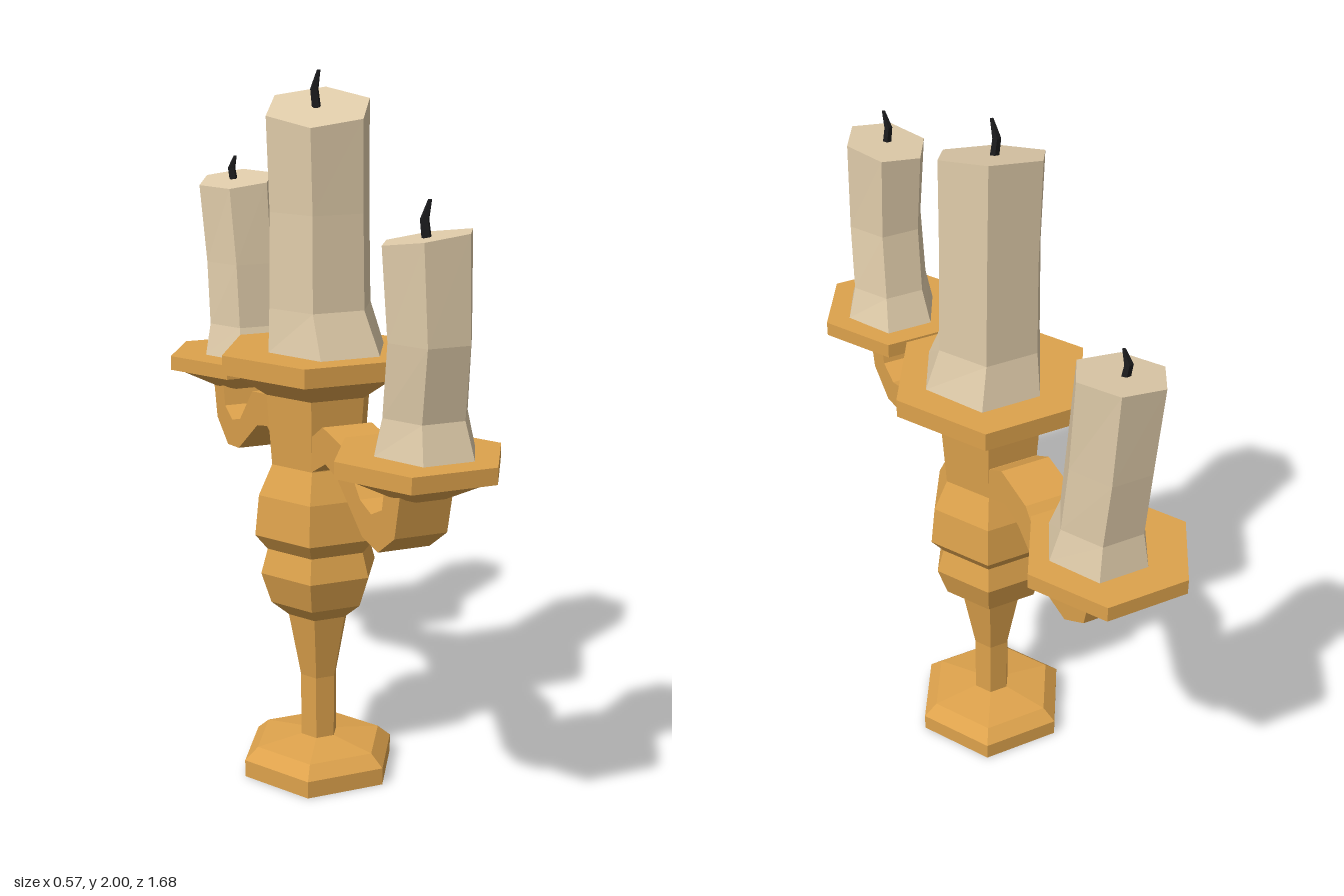
import * as THREE from 'three';

const paint = (color) => new THREE.MeshStandardMaterial({ color, flatShading: true });

// Six-sided turned part from [radius, height] pairs, corners on the x axis
function turned(name, profile, material) {
  const points = profile.map(([r, y]) => new THREE.Vector2(r, y));
  const mesh = new THREE.Mesh(new THREE.LatheGeometry(points, 6, Math.PI / 2), material);
  mesh.name = name;
  return mesh;
}

// Capped loft through rings [y, centreX, centreZ, radiusX, radiusZ]; the last ring may slope
function loft(name, rings, sides, material, slopeX = 0, slopeZ = 0) {
  const corner = (s, i) => {
    const [y, cx, cz, rx, rz] = rings[s];
    const a = (i / sides) * Math.PI * 2;
    const dx = rx * Math.cos(a), dz = -rz * Math.sin(a);
    const lift = s === rings.length - 1 ? slopeX * dx + slopeZ * dz : 0;
    return [cx + dx, y + lift, cz + dz];
  };
  const centre = (s) => [rings[s][1], rings[s][0], rings[s][2]];
  const top = rings.length - 1;
  const pos = [];
  for (let i = 0; i < sides; i++) {
    for (let s = 0; s < top; s++) {
      const a = corner(s, i), b = corner(s, i + 1), c = corner(s + 1, i + 1), d = corner(s + 1, i);
      pos.push(...a, ...b, ...c, ...a, ...c, ...d);
    }
    pos.push(...centre(top), ...corner(top, i), ...corner(top, i + 1));
    pos.push(...centre(0), ...corner(0, i + 1), ...corner(0, i));
  }
  const geometry = new THREE.BufferGeometry();
  geometry.setAttribute('position', new THREE.Float32BufferAttribute(pos, 3));
  geometry.computeVertexNormals();
  const mesh = new THREE.Mesh(geometry, material);
  mesh.name = name;
  return mesh;
}

export function createModel() {
  const gold = paint(0xdda24c), wax = paint(0xe0ccaa), black = paint(0x1c1c1e);
  const model = new THREE.Group();
  model.name = 'candelabra';

  // Foot, stem and centre dish
  model.add(turned('foot', [[0, 0], [0.23, 0], [0.23, 0.05], [0.19, 0.085], [0.05, 0.105], [0, 0.105]], gold));
  model.add(turned('stem', [
    [0.055, 0.1], [0.055, 0.29], [0.092, 0.48], [0.145, 0.525], [0.175, 0.615], [0.155, 0.685],
    [0.192, 0.73], [0.18, 0.845], [0.14, 0.93], [0.155, 1.13],
  ], gold));
  model.add(turned('centreDish', [
    [0, 1.12], [0.155, 1.13], [0.235, 1.185], [0.283, 1.197], [0.283, 1.25], [0, 1.25],
  ], gold));

  // Curved arm outline in the z-y plane, extruded to a square-edged bar
  const outline = [
    [0.04, 0.93], [0.13, 0.935], [0.22, 0.98], [0.3, 0.963], [0.465, 0.852], [0.563, 0.84], [0.66, 0.905],
    [0.688, 1.02], [0.598, 1.02], [0.585, 0.958], [0.52, 0.928], [0.45, 0.947], [0.34, 1.057],
    [0.2, 1.077], [0.13, 1.035], [0.04, 1.02],
  ].map(([z, y]) => new THREE.Vector2(z, y));
  const armGeometry = new THREE.ExtrudeGeometry(new THREE.Shape(outline), { depth: 0.144, bevelEnabled: false });
  armGeometry.translate(0, 0, -0.072).rotateY(-Math.PI / 2);

  for (const [side, sign] of [['front', 1], ['back', -1]]) {
    const arm = new THREE.Mesh(armGeometry, gold);
    arm.name = side + 'Arm';
    arm.rotation.y = sign > 0 ? 0 : Math.PI;
    const dish = turned(side + 'Dish', [
      [0, 1.005], [0.08, 1.01], [0.185, 1.062], [0.226, 1.072], [0.226, 1.115], [0, 1.115],
    ], gold);
    dish.position.z = sign * 0.643;
    model.add(arm, dish);
  }

  // Slightly bent candles with flared feet and sloping tops
  model.add(loft('centreCandle', [
    [1.25, 0.02, 0.01, 0.172, 0.19], [1.37, 0.005, 0, 0.15, 0.148],
    [1.63, 0.005, -0.003, 0.146, 0.145], [1.903, 0, -0.003, 0.15, 0.148],
  ], 6, wax, 0.13, -0.27));
  model.add(loft('frontCandle', [
    [1.115, 0.018, 0.638, 0.137, 0.153], [1.21, 0.015, 0.643, 0.115, 0.116],
    [1.4, 0.01, 0.672, 0.112, 0.119], [1.645, 0.002, 0.667, 0.119, 0.12],
  ], 6, wax, 0.12, 0.1));
  model.add(loft('backCandle', [
    [1.115, 0.018, -0.622, 0.137, 0.15], [1.21, 0.015, -0.63, 0.115, 0.122],
    [1.4, 0.01, -0.645, 0.112, 0.124], [1.645, 0.002, -0.663, 0.119, 0.12],
  ], 6, wax, 0.12, -0.1));

  // Bent, tapering wicks
  for (const [name, y, z, h] of [['centre', 1.9, -0.006, 0.1], ['front', 1.64, 0.674, 0.095], ['back', 1.64, -0.672, 0.075]]) {
    model.add(loft(name + 'Wick', [
      [y, -0.004, z, 0.013, 0.011], [y + h * 0.5, -0.009, z - 0.003, 0.012, 0.01],
      [y + h, 0, z + 0.006, 0.005, 0.005],
    ], 5, black));
  }
  return model;
}
